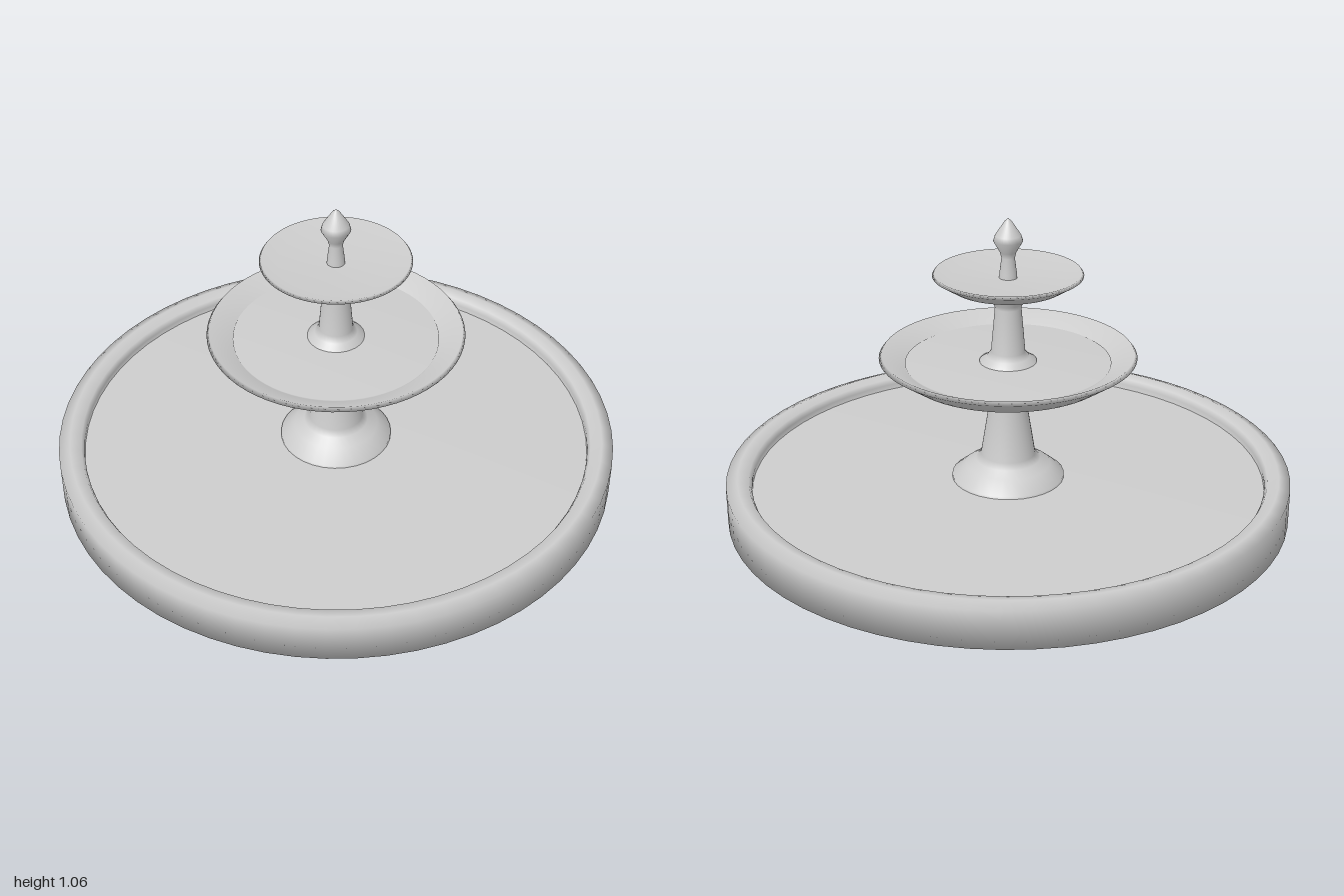
import * as THREE from 'three';

export function createModel() {
  const fountain = new THREE.Group();
  fountain.name = 'fountain';
  const stone = new THREE.MeshStandardMaterial({ color: 0xcccccc });
  stone.name = 'grey stone';

  // Turned part: profile of [radius, height] running from the underside up and over
  function turned(name, profile, segments = 64) {
    const points = profile.map(([r, y]) => new THREE.Vector2(r, y));
    const mesh = new THREE.Mesh(new THREE.LatheGeometry(points, segments), stone);
    mesh.name = name;
    fountain.add(mesh);
  }

  // Thin disc of water with softly shaded edges
  const water = (name, r, y) =>
    turned(name, [[0, y - 0.02], [r, y - 0.02], [r, y], [0, y]]);

  // Ground pool: wall with a rounded rim
  turned('poolBasin', [
    [0, 0], [1, 0], [1, 0.135], [0.96, 0.15], [0.92, 0.14],
    [0.91, 0.12], [0.91, 0.06], [0, 0.06],
  ]);
  water('poolWater', 0.912, 0.1);

  // Lower tier
  turned('lowerColumn', [
    [0.2, 0.08], [0.2, 0.11], [0.15, 0.15], [0.115, 0.17], [0.097, 0.19],
    [0.066, 0.385], [0.073, 0.405], [0.09, 0.44],
  ], 32);
  turned('middleBowl', [
    [0, 0.432], [0.12, 0.432], [0.363, 0.505], [0.45, 0.565], [0.44, 0.578],
    [0.36, 0.538], [0.3, 0.51], [0, 0.5],
  ]);
  water('middleWater', 0.36, 0.542);

  // Upper tier
  turned('upperColumn', [
    [0.1, 0.53], [0.1, 0.545], [0.075, 0.56], [0.06, 0.58],
    [0.046, 0.74], [0.05, 0.755], [0.065, 0.785],
  ], 32);
  turned('topBowl', [
    [0, 0.777], [0.065, 0.777], [0.2, 0.822], [0.26, 0.86], [0.253, 0.87],
    [0.2, 0.852], [0, 0.848],
  ]);

  // Pointed finial
  turned('finial', [
    [0.032, 0.84], [0.03, 0.865], [0.023, 0.92], [0.028, 0.94], [0.051, 0.98],
    [0.045, 1.0], [0.012, 1.05], [0, 1.06],
  ], 32);

  return fountain;
}
